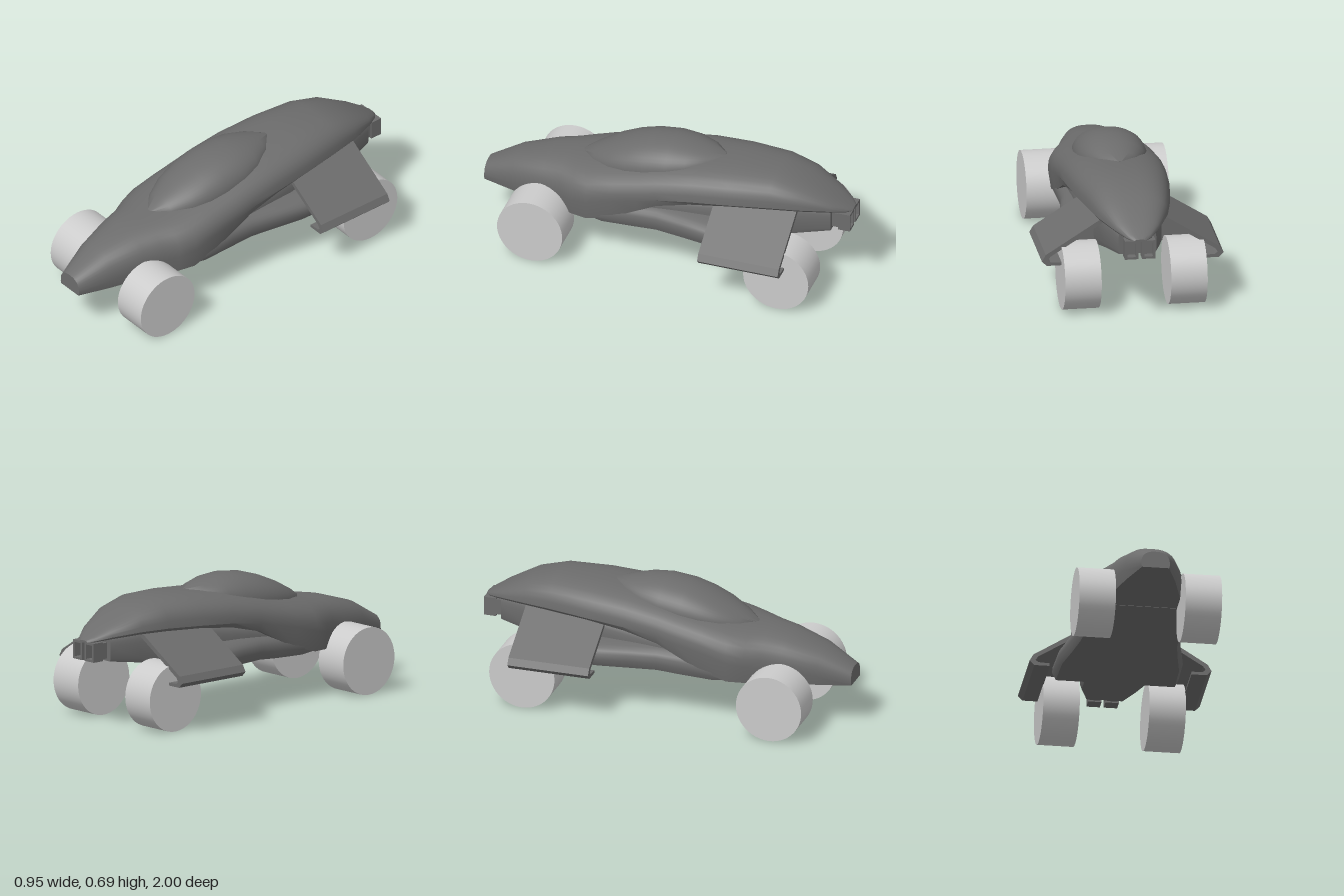
import * as THREE from 'three';
import { toCreasedNormals } from 'three/addons/utils/BufferGeometryUtils.js';

const dark = new THREE.MeshStandardMaterial({ color: 0x6c6c6c });
const grey = new THREE.MeshStandardMaterial({ color: 0xcccccc });

// Half section: flat floor at b, widest (w) at height m, rounded up to top t.
function ring([z, w, b, m, t], power, arcSteps) {
  const half = [[w * 0.94, b]];
  for (let i = 0; i < arcSteps; i++) {
    const a = (i / arcSteps) * Math.PI / 2;
    half.push([w * Math.cos(a) ** power, m + (t - m) * Math.sin(a) ** power]);
  }
  const left = half.map(([x, y]) => [-x, y]).reverse();
  return [...half, [0, t], ...left].map(([x, y]) => [x, y, z]);
}

// Skin a list of stations [z, halfWidth, bottom, widestHeight, top], front to back.
function loft(stations, power = 0.76, arcSteps = 9, crease = 0.6) {
  const rings = stations.map((s) => ring(s, power, arcSteps));
  const n = rings[0].length;
  const points = rings.flat(2);
  const index = [];
  for (let i = 0; i < rings.length - 1; i++) {
    for (let j = 0; j < n; j++) {
      const a = i * n + j, b = i * n + (j + 1) % n;
      index.push(a, a + n, b, b, a + n, b + n);
    }
  }
  // end caps
  const last = (rings.length - 1) * n;
  for (let j = 1; j < n - 1; j++) {
    index.push(0, j, j + 1);
    index.push(last, last + j + 1, last + j);
  }
  const geo = new THREE.BufferGeometry();
  geo.setAttribute('position', new THREE.Float32BufferAttribute(points, 3));
  geo.setIndex(index);
  return toCreasedNormals(geo, crease);
}

function polygon(points) {
  return new THREE.Shape(points.map(([x, y]) => new THREE.Vector2(x, y)));
}

export function createModel() {
  const model = new THREE.Group();
  const add = (name, geo, material, x = 0, y = 0, z = 0) => {
    const mesh = new THREE.Mesh(geo, material);
    mesh.name = name;
    mesh.position.set(x, y, z);
    model.add(mesh);
    return mesh;
  };

  // Upper shell: narrow nose, broad middle, tapered tail, rising lower edge
  add('bodyShell', loft([
    [1, 0.075, 0.235, 0.25, 0.325],
    [0.83, 0.135, 0.24, 0.29, 0.42],
    [0.65, 0.185, 0.245, 0.32, 0.475],
    [0.55, 0.208, 0.245, 0.33, 0.493],
    [0.47, 0.25, 0.245, 0.34, 0.503],
    [0.38, 0.275, 0.25, 0.36, 0.52],
    [0.24, 0.275, 0.29, 0.4, 0.548],
    [0.1, 0.272, 0.36, 0.43, 0.578],
    [0, 0.27, 0.41, 0.455, 0.6],
    [-0.18, 0.263, 0.455, 0.48, 0.63],
    [-0.38, 0.248, 0.48, 0.495, 0.645],
    [-0.6, 0.215, 0.49, 0.505, 0.648],
    [-0.75, 0.182, 0.49, 0.503, 0.61],
    [-0.9, 0.115, 0.475, 0.485, 0.53],
    [-0.97, 0.065, 0.462, 0.467, 0.487],
    [-1, 0.03, 0.455, 0.458, 0.467],
  ]), dark);

  // Canopy bubble
  add('canopy', loft([
    [0.48, 0.02, 0.47, 0.48, 0.5],
    [0.4, 0.1, 0.47, 0.487, 0.55],
    [0.3, 0.152, 0.47, 0.507, 0.603],
    [0.2, 0.178, 0.49, 0.523, 0.645],
    [0.1, 0.187, 0.5, 0.535, 0.675],
    [-0.02, 0.184, 0.52, 0.552, 0.69],
    [-0.12, 0.162, 0.54, 0.575, 0.683],
    [-0.22, 0.11, 0.57, 0.6, 0.662],
    [-0.3, 0.02, 0.6, 0.625, 0.64],
  ], 0.95, 12, 0.9), dark);

  // Lower hull with flat floor, flaring out behind the doors
  add('lowerHull', loft([
    [0.5, 0.2, 0.243, 0.27, 0.38],
    [0.3, 0.262, 0.243, 0.275, 0.38],
    [0.12, 0.262, 0.25, 0.29, 0.39],
    [0, 0.268, 0.26, 0.3, 0.395],
    [-0.15, 0.295, 0.262, 0.305, 0.395],
    [-0.3, 0.325, 0.265, 0.305, 0.395],
    [-0.5, 0.33, 0.265, 0.305, 0.395],
  ], 0.62), dark);

  // Inner core joining hull, shell and tail
  add('core', loft([
    [0.1, 0.225, 0.27, 0.3, 0.43],
    [-0.3, 0.215, 0.27, 0.31, 0.49],
    [-0.5, 0.17, 0.27, 0.32, 0.51],
    [-0.74, 0.15, 0.335, 0.36, 0.51],
    [-0.9, 0.1, 0.355, 0.37, 0.49],
  ], 0.35), dark);

  // Sloping side wings with a folded lower lip
  const wingProfile = [
    [0.155, 0.5], [0.455, 0.31], [0.475, 0.275], [0.45, 0.25], [0.37, 0.25],
    [0.37, 0.265], [0.43, 0.268], [0.444, 0.28], [0.43, 0.3], [0.155, 0.472],
  ];
  for (const [side, sign] of [['left', 1], ['right', -1]]) {
    const wing = new THREE.ExtrudeGeometry(
      polygon(wingProfile.map(([x, y]) => [x * sign, y])),
      { depth: 0.44, bevelEnabled: false });
    add(side + 'Wing', wing, dark, 0, 0, -0.74);

    // Twin hollow exhausts at the tail
    const outlet = polygon([[-0.035, -0.05], [0.035, -0.05], [0.035, 0.05], [-0.035, 0.05]]);
    outlet.holes.push(new THREE.Path([[-0.023, -0.038], [-0.023, 0.038], [0.023, 0.038], [0.023, -0.038]]
      .map(([x, y]) => new THREE.Vector2(x, y))));
    const nozzle = new THREE.ExtrudeGeometry(outlet, { depth: 0.065, bevelEnabled: false });
    add(side + 'Exhaust', nozzle, dark, sign * 0.045, 0.41, -1);
    add(side + 'ExhaustNeck', new THREE.BoxGeometry(0.055, 0.084, 0.09), dark,
      sign * 0.045, 0.41, -0.915);

    // Wheels
    for (const [end, z] of [['Front', 0.65], ['Rear', -0.695]]) {
      const tyre = new THREE.CylinderGeometry(0.178, 0.178, 0.19, 48).rotateZ(Math.PI / 2);
      add(side + end + 'Wheel', tyre, grey, sign * 0.277, 0.178, z);
    }
  }
  return model;
}
